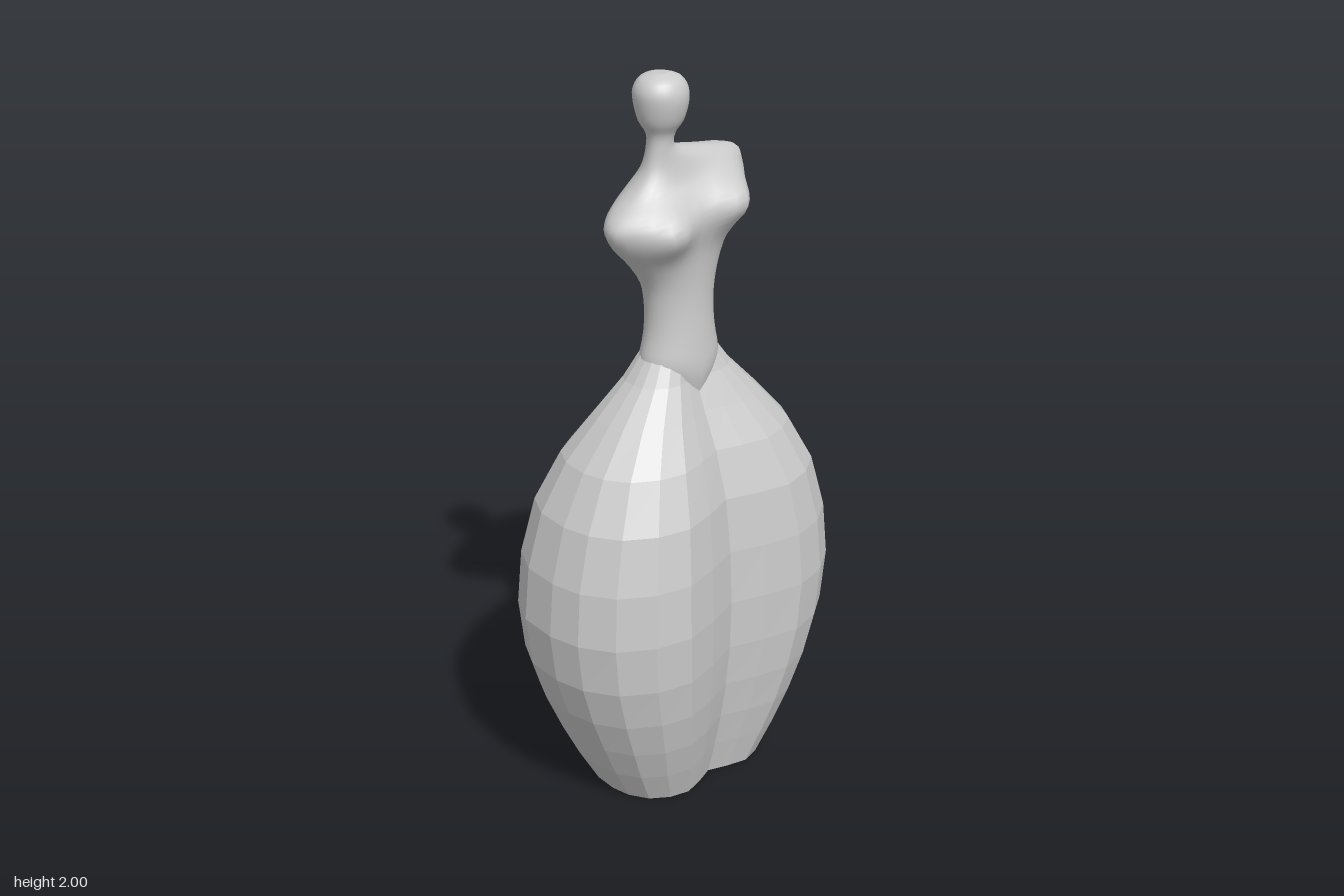
import * as THREE from 'three';

// Joins closed rings of points (bottom to top) into a skin with end caps.
function loft(rings, flat) {
  const n = rings[0].length, pos = [], idx = [];
  rings.forEach(r => r.forEach(p => pos.push(...p)));
  for (let i = 0; i < rings.length - 1; i++) for (let j = 0; j < n; j++) {
    const a = i * n + j, b = i * n + (j + 1) % n, c = a + n, d = b + n;
    idx.push(a, c, b, b, c, d);
  }
  const cap = (ring, up) => {
    const base = pos.length / 3;
    ring.forEach(p => pos.push(...p));
    pos.push(...[0, 1, 2].map(k => ring.reduce((s, p) => s + p[k], 0) / n));
    for (let j = 0; j < n; j++) {
      const a = base + j, b = base + (j + 1) % n;
      idx.push(base + n, ...(up ? [b, a] : [a, b]));
    }
  };
  cap(rings[0], false);
  cap(rings[rings.length - 1], true);
  const g = new THREE.BufferGeometry();
  g.setAttribute('position', new THREE.Float32BufferAttribute(pos, 3));
  g.setIndex(idx);
  g.computeVertexNormals();
  return new THREE.Mesh(g, new THREE.MeshStandardMaterial({ color: 0xcccccc, flatShading: flat }));
}

function makeSkirt() {
  // Two-lobed outline from the +x side to the middle: x, front z, back z
  const half = [[1, 0, 0], [.97, .34, .42], [.86, .67, .75], [.67, .89, .945], [.45, .985, 1], [.22, .89, .96], [0, .76, .865]];
  const mirror = half.slice(0, 6).reverse().map(([x, f, b]) => [-x, f, b]);
  const front = [...half, ...mirror].map(([x, f]) => [x, f]);
  const back = [...half, ...mirror].slice(1, -1).reverse().map(([x, , b]) => [x, -b]);
  const outline = [...front, ...back];
  // Height, half width, half depth
  const levels = [[0, .25, .16], [.1, .308, .193], [.2, .358, .222], [.31, .407, .246], [.43, .447, .263],
    [.57, .465, .27], [.72, .452, .262], [.87, .41, .238], [1, .338, .188], [1.1, .248, .132], [1.19, .16, .085], [1.26, .108, .058]];
  return loft(levels.map(([y, w, d]) => outline.map(([x, z]) => [x * w, y, z * d])), true);
}

function makeBody() {
  // Tilted sections: right x, right y, left x, left y, front z, back z, dip of the front and back edges
  const keys = [
    [-.118, 1.225, .118, 1.225, .078, .072, .085],
    [-.118, 1.25, .118, 1.25, .09, .08, .04],
    [-.104, 1.31, .106, 1.31, .083, .072, .01],
    [-.101, 1.38, .104, 1.38, .077, .071, 0],
    [-.114, 1.45, .115, 1.45, .077, .078, 0],
    [-.16, 1.515, .146, 1.53, .082, .093, 0],
    [-.212, 1.57, .195, 1.61, .088, .104, 0],
    [-.236, 1.618, .218, 1.675, .085, .108, 0],
    [-.216, 1.655, .219, 1.725, .07, .106, 0],
    [-.165, 1.695, .195, 1.763, .054, .098, 0],
    [-.115, 1.745, .09, 1.785, .042, .07, 0],
    [-.097, 1.80, -.015, 1.81, .031, .042, 0],
    [-.097, 1.845, -.02, 1.845, .033, .038, 0],
    [-.116, 1.88, .002, 1.88, .054, .06, 0],
    [-.127, 1.925, .014, 1.925, .066, .072, 0],
    [-.128, 1.96, .014, 1.96, .064, .072, 0],
    [-.11, 1.988, -.004, 1.988, .046, .055, 0],
    [-.076, 2, -.038, 2, .015, .025, 0],
  ];
  const breasts = [[-.118, 1.61, .055], [.108, 1.65, .066]];
  const steps = 3, sides = 32, rings = [];
  const cubic = (a, b, c, d, t) => b + .5 * t * (c - a + t * (2 * a - 5 * b + 4 * c - d + t * (3 * (b - c) + d - a)));
  for (let s = 0; s <= (keys.length - 1) * steps; s++) {
    const i = Math.floor(s / steps), t = (s % steps) / steps;
    const key = k => keys[Math.min(Math.max(k, 0), keys.length - 1)];
    const [x0, y0, x1, y1, f, b, dip] = key(i).map((_, k) => cubic(key(i - 1)[k], key(i)[k], key(i + 1)[k], key(i + 2)[k], t));
    const ring = [];
    for (let j = 0; j < sides; j++) {
      const a = j / sides * Math.PI * 2, c = Math.cos(a), sn = Math.sin(a);
      const x = (x0 + x1) / 2 + c * (x1 - x0) / 2;
      const y = (y0 + y1) / 2 + c * (y1 - y0) / 2 - dip * (1 - Math.abs(c));
      let z = sn * (sn > 0 ? f : b);
      // Breasts swell from the front of the chest
      if (sn > 0) for (const [bx, by, h] of breasts)
        z += h * Math.min(1, sn * 1.4) * Math.exp(-(((x - bx) / .075) ** 2) - ((y - by) / .065) ** 2);
      ring.push([x, y, z]);
    }
    rings.push(ring);
  }
  return loft(rings, false);
}

export function createModel() {
  const model = new THREE.Group();
  model.name = 'figurine';
  const skirt = makeSkirt();
  skirt.name = 'skirt';
  const body = makeBody();
  body.name = 'torsoAndHead';
  model.add(skirt, body);
  return model;
}
